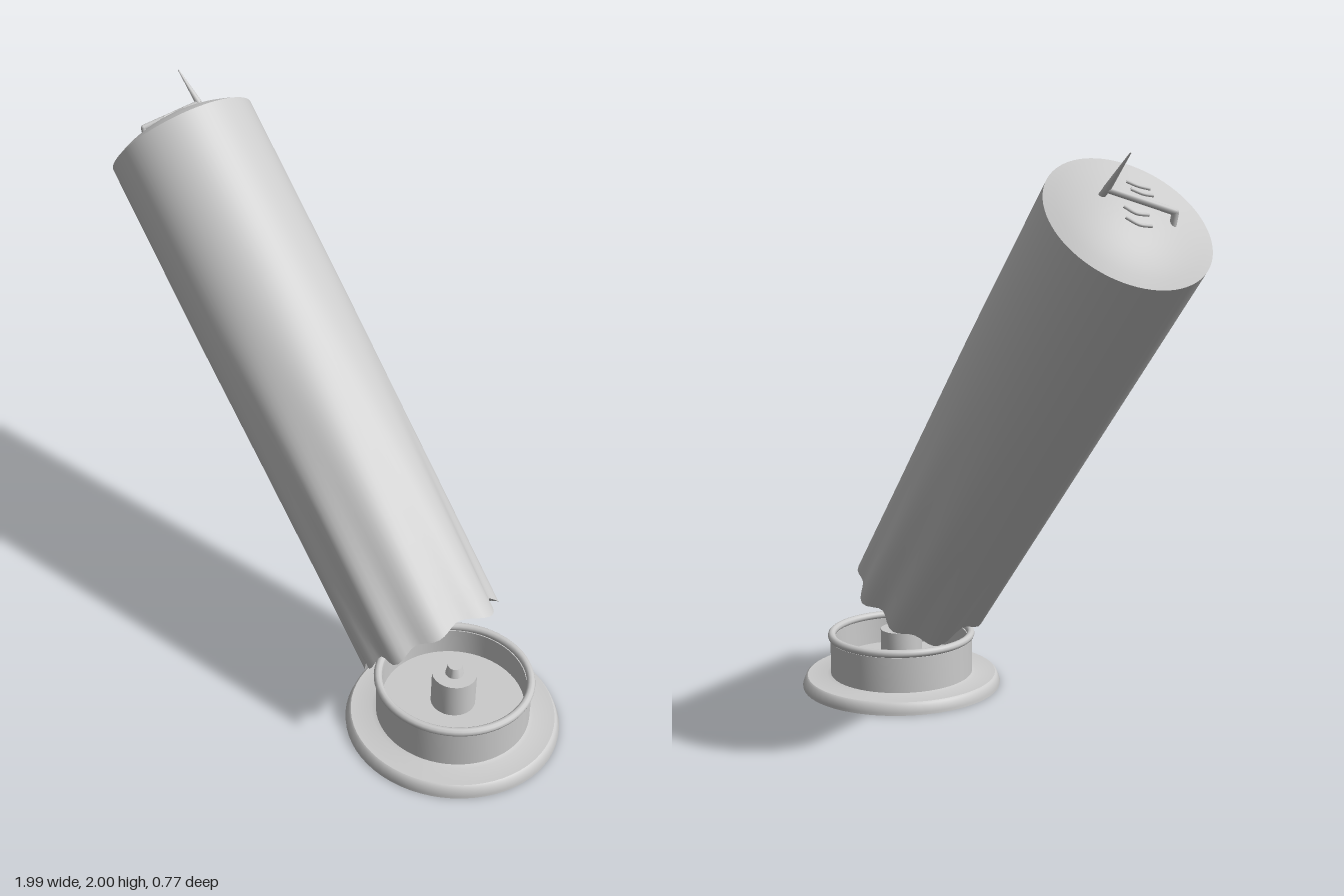
import * as THREE from 'three';
import { toCreasedNormals } from 'three/addons/utils/BufferGeometryUtils.js';

const V = (x, y, z) => new THREE.Vector3(x, y, z);
const material = new THREE.MeshStandardMaterial({ color: 0xcccccc, side: THREE.DoubleSide });

function part(name, geometry, parent) {
  const mesh = new THREE.Mesh(geometry, material);
  mesh.name = name;
  parent.add(mesh);
  return mesh;
}

function lathe(points, segments = 64) {
  return new THREE.LatheGeometry(points.map(([r, y]) => new THREE.Vector2(r, y)), segments);
}

// Straight tapered rod between two points
function rod(name, a, b, r0, r1, parent) {
  const dir = b.clone().sub(a);
  const mesh = part(name, new THREE.CylinderGeometry(r1, r0, dir.length(), 10), parent);
  mesh.position.copy(a).add(b).multiplyScalar(0.5);
  mesh.quaternion.setFromUnitVectors(V(0, 1, 0), dir.normalize());
}

// Leaning candle: its axis and domed top
const bottom = V(0.555, 0.385, 0.06);
const top = V(-0.8, 1.8, -0.105);
const axis = top.clone().sub(bottom);
const length = axis.length();
axis.normalize();
const radius = 0.27, rise = 0.07;
const domeR = (radius * radius + rise * rise) / (2 * rise);
const domeCentre = top.clone().addScaledVector(axis, rise - domeR);

// Point on the dome above a given x and z
function onDome(x, z, lift = 0) {
  const dx = x - domeCentre.x, dz = z - domeCentre.z;
  return V(x, domeCentre.y + Math.sqrt(domeR * domeR - dx * dx - dz * dz) + lift, z);
}

function candleGeometry() {
  // radius, height, strength of the pleats, strength of the ragged rim
  const rows = [
    [0, 0.15, 0, 0], [0.05, 0.14, 0, 0], [0.065, 0.08, 0, 0], [0.09, 0.055, 0.1, 0.1],
    [0.14, 0.045, 0.4, 0.4], [0.2, 0.03, 0.8, 0.8], [0.25, 0.012, 1, 1], [0.27, 0, 1, 1],
  ];
  for (let i = 1; i <= 12; i++) {
    const t = i / 12;
    rows.push([radius, t * 1.35, (1 - t) ** 1.5, i === 1 ? 0.2 : 0]);
  }
  rows.push([radius, length, 0, 0]);
  const half = Math.asin(radius / domeR);
  for (let i = 1; i <= 8; i++) {
    const a = half * (1 - i / 8);
    rows.push([domeR * Math.sin(a), length + rise - domeR + domeR * Math.cos(a), 0, 0]);
  }

  const geometry = lathe(rows, 80);
  const p = geometry.attributes.position;
  for (let i = 0; i < p.count; i++) {
    const [, , pleat, rag] = rows[i % rows.length];
    const a = Math.atan2(p.getX(i), p.getZ(i));
    const fold = 0.5 + 0.32 * Math.cos(9 * a + 0.9 * Math.sin(2 * a)) + 0.18 * Math.cos(5 * a + 1);
    const s = 1 - 0.13 * pleat * fold;
    p.setXYZ(i, p.getX(i) * s, p.getY(i) + 0.045 * rag * fold, p.getZ(i) * s);
  }
  return toCreasedNormals(geometry, 0.7);
}

export function createModel() {
  const model = new THREE.Group();
  model.name = 'candleAndHolder';

  // Round holder with a flared foot, a rolled lip and a stepped pin
  const holder = new THREE.Group();
  holder.name = 'holder';
  holder.position.x = 0.61;
  model.add(holder);
  part('holderCup', toCreasedNormals(lathe([
    [0, 0], [0.383, 0], [0.384, 0.01], [0.372, 0.04], [0.365, 0.045], [0.29, 0.045],
    [0.275, 0.05], [0.275, 0.185], [0.255, 0.19], [0.255, 0.09], [0, 0.09],
  ]), 0.6), holder);
  const lip = part('holderLip', new THREE.TorusGeometry(0.27, 0.015, 10, 64), holder);
  lip.rotation.x = Math.PI / 2;
  lip.position.y = 0.2;
  part('holderPin', toCreasedNormals(lathe([
    [0.08, 0.09], [0.08, 0.22], [0.033, 0.22], [0.025, 0.255], [0, 0.255],
  ], 24), 0.6), holder);

  // Candle body, pleated towards its hollow lower end
  const body = part('candleBody', candleGeometry(), model);
  body.position.copy(bottom);
  body.quaternion.setFromUnitVectors(V(0, 1, 0), axis);

  // Bent wick standing on the dome
  const wick = new THREE.Group();
  wick.name = 'wick';
  model.add(wick);
  const bend = V(-0.81, 1.895, -0.2), elbow = V(-0.905, 1.83, -0.02);
  rod('wickTip', bend, V(-0.905, 1.995, -0.195), 0.012, 0.002, wick);
  rod('wickBar', bend, elbow, 0.011, 0.011, wick);
  rod('wickFoot', elbow, onDome(-0.895, -0.02, -0.01), 0.011, 0.011, wick);
  rod('wickRoot', bend, onDome(-0.785, -0.2, -0.01), 0.011, 0.011, wick);
  for (const point of [bend, elbow]) {
    part('wickJoint', new THREE.SphereGeometry(0.011, 10, 8), wick).position.copy(point);
  }

  // Small curved ridges beside the wick
  const ridges = [
    [[-0.87, -0.18], [-0.895, -0.15], [-0.905, -0.11]],
    [[-0.845, -0.165], [-0.87, -0.14], [-0.88, -0.1]],
    [[-0.8, -0.1], [-0.82, -0.07], [-0.825, -0.035]],
    [[-0.77, -0.09], [-0.79, -0.065], [-0.8, -0.025]],
  ];
  for (const ridge of ridges) {
    const curve = new THREE.CatmullRomCurve3(ridge.map(([x, z]) => onDome(x, z, 0.003)));
    part('domeRidge', new THREE.TubeGeometry(curve, 10, 0.006, 6), model);
  }
  return model;
}
